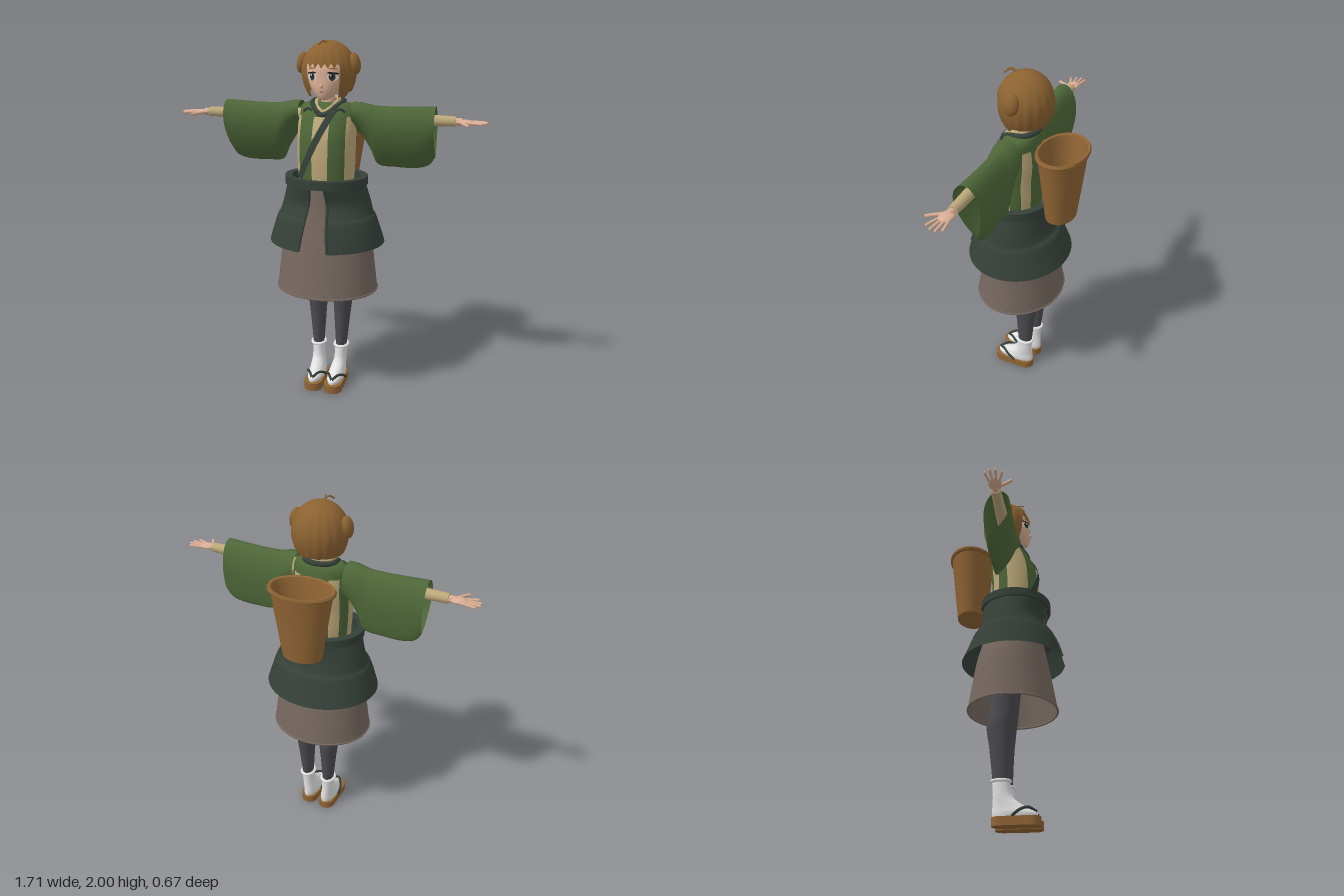
import * as THREE from 'three';
import { toCreasedNormals } from 'three/addons/utils/BufferGeometryUtils.js';
import { ParametricGeometry } from 'three/addons/geometries/ParametricGeometry.js';

const PI = Math.PI;
const mat = (name, color, side = THREE.FrontSide) => {
  const m = new THREE.MeshStandardMaterial({ color, side });
  m.name = name;
  return m;
};

// Rings are [y, centreX, centreZ, radiusX, radiusZ]; blended with a Catmull-Rom rule
const ringAt = (rings, f) => {
  const n = rings.length - 1, i = Math.min(Math.floor(f), n - 1), t = f - i;
  const p = (k) => rings[Math.max(0, Math.min(n, k))];
  return rings[i].map((b, k) => {
    const a = p(i - 1)[k], c = p(i + 1)[k], d = p(i + 2)[k];
    return b + 0.5 * t * (c - a + t * (2 * a - 5 * b + 4 * c - d + t * (3 * (b - c) + d - a)));
  });
};
// Front z of a lofted body at a given x and y
const frontZ = (rings, x, y) => {
  let lo = 0, hi = rings.length - 1;
  for (let k = 0; k < 24; k++) {
    const m = (lo + hi) / 2;
    if (ringAt(rings, m)[0] < y) lo = m; else hi = m;
  }
  const [, cx, cz, rx, rz] = ringAt(rings, lo);
  return cz + rz * Math.sqrt(Math.max(0, 1 - ((x - cx) / rx) ** 2));
};
// Elliptical loft between two angles; angle 0 is the front, positive towards +x
const loft = (rings, a0 = -PI, a1 = PI, seg = 40, gap = null) => new ParametricGeometry((u, v, p) => {
  const [y, cx, cz, rx, rz] = ringAt(rings, v * (rings.length - 1));
  const g = gap ? Math.asin(gap(y) / rx) : 0;
  const a = gap ? g + u * (2 * PI - 2 * g) : a0 + u * (a1 - a0);
  p.set(cx + rx * Math.sin(a), y, cz + rz * Math.cos(a));
}, seg, (rings.length - 1) * 5);

const V = (a) => new THREE.Vector3(...a);
const tube = (pts, r, closed = false, n = 24) =>
  new THREE.TubeGeometry(new THREE.CatmullRomCurve3(pts.map(V), closed), n, r, 8, closed);
const extrudeUp = (shape, y, h) => {
  const g = new THREE.ExtrudeGeometry(shape, { depth: h, bevelEnabled: false, curveSegments: 36 });
  return toCreasedNormals(g.rotateX(-PI / 2).translate(0, y, 0), 0.6);
};

const TORSO = [[1.24, 0, 0.06, 0.152, 0.13], [1.32, 0, 0.06, 0.158, 0.137], [1.42, 0, 0.06, 0.161, 0.138],
  [1.52, 0, 0.05, 0.161, 0.135], [1.61, 0, 0.035, 0.16, 0.108]];
const SHOULDERS = [[1.61, 0, 0.035, 0.16, 0.108], [1.65, 0, 0.025, 0.152, 0.09], [1.675, 0, 0.02, 0.12, 0.07],
  [1.682, 0, 0.02, 0.04, 0.03]];
const FACE = [[1.694, 0, 0.1, 0.002, 0.002], [1.7, 0, 0.1, 0.024, 0.03], [1.72, 0, 0.085, 0.05, 0.058],
  [1.76, 0, 0.05, 0.085, 0.1], [1.81, 0, 0.025, 0.108, 0.122], [1.87, 0, 0.015, 0.116, 0.125],
  [1.94, 0, 0.01, 0.09, 0.09], [1.975, 0, 0.01, 0.004, 0.004]];
const JACKET = [[0.91, 0, 0.045, 0.325, 0.29], [1.0, 0, 0.05, 0.298, 0.257], [1.06, 0, 0.05, 0.277, 0.232],
  [1.085, 0, 0.05, 0.262, 0.208], [1.15, 0, 0.045, 0.245, 0.183], [1.25, 0, 0.06, 0.215, 0.19]];
const SKIRT = [[0.625, 0, 0.04, 0.29, 0.248], [0.77, 0, 0.04, 0.273, 0.225], [0.91, 0, 0.04, 0.254, 0.2],
  [1.1, 0, 0.048, 0.205, 0.158], [1.25, 0, 0.05, 0.16, 0.145]];

export function createModel() {
  const D = THREE.DoubleSide;
  const M = {
    skin: mat('skin', 0xd9ad94), hair: mat('hair brown', 0x8b6231, D), wood: mat('wood brown', 0x8f6434, D),
    green: mat('leaf green', 0x4d6638, D), dark: mat('dark green', 0x354038, D), cream: mat('cream', 0xbba779, D),
    skirt: mat('taupe', 0x75675f, D), grey: mat('legging grey', 0x4b4b50), white: mat('white', 0xe2e2e2, D),
    black: mat('black', 0x1f1d1c, D),
  };
  const model = new THREE.Group();
  const add = (name, geo, m, parent = model) => {
    const mesh = new THREE.Mesh(geo, m);
    mesh.name = name;
    parent.add(mesh);
    return mesh;
  };

  // Head, neck and nose
  add('head', loft(FACE), M.skin);
  add('neck', new THREE.CylinderGeometry(0.036, 0.042, 0.16, 24).translate(0, 1.67, 0.025), M.skin);
  add('nose', new THREE.SphereGeometry(1, 12, 8).scale(0.009, 0.013, 0.014).translate(0, 1.772, 0.15), M.skin);

  // Painted face details, pressed onto the face
  const facePlate = (name, cx, cy, rx, ry, m, lift, tilt = 0) => {
    const s = new THREE.Shape().absellipse(cx, cy, rx, ry, 0, 2 * PI, false, tilt);
    const g = new THREE.ShapeGeometry(s, 14), p = g.attributes.position;
    for (let i = 0; i < p.count; i++) p.setZ(i, frontZ(FACE, p.getX(i), p.getY(i)) + lift);
    g.computeVertexNormals();
    add(name, g, m);
  };
  for (const s of [-1, 1]) {
    facePlate('eyeWhite', s * 0.056, 1.818, 0.027, 0.019, M.white, 0.004);
    facePlate('iris', s * 0.054, 1.818, 0.016, 0.019, M.dark, 0.006);
    facePlate('pupil', s * 0.054, 1.82, 0.008, 0.011, M.black, 0.0075);
    facePlate('eyeGlint', s * 0.054 - 0.005, 1.827, 0.004, 0.005, M.white, 0.009);
    facePlate('eyelash', s * 0.058, 1.838, 0.029, 0.005, M.black, 0.007, -s * 0.12);
    facePlate('eyebrow', s * 0.057, 1.861, 0.022, 0.003, M.hair, 0.005, -s * 0.1);
  }
  facePlate('mouth', 0, 1.742, 0.013, 0.0025, M.skirt, 0.004);

  // Bobbed hair: one shell whose lower edge changes around the head
  const hairEdge = (a) => {
    const b = Math.abs(a);
    if (b < 0.74) return 1.86 + 0.028 * Math.abs(((a * 4.2 + 20.5) % 1) * 2 - 1);
    return b < 1.3 ? 1.71 : 1.735;
  };
  add('hair', new ParametricGeometry((u, v, p) => {
    const a = (u * 2 - 1) * PI, d = Math.max(0.004, 1 - v);
    const y = 2 - (2 - hairEdge(a)) * d ** 1.8;
    const r = y > 1.84 ? 0.148 * Math.sqrt(1 - ((y - 1.84) / 0.16) ** 2) : 0.148 - 0.04 * ((1.84 - y) / 0.13) ** 2;
    const k = r * (1 + 0.012 * d * Math.cos(a * 18));
    p.set(k * Math.sin(a), y, 0.01 + 0.98 * k * Math.cos(a));
  }, 144, 22), M.hair);
  for (const s of [-1, 1]) {
    const bun = add('hairBun', new THREE.SphereGeometry(1, 20, 14).scale(0.03, 0.057, 0.042), M.hair);
    bun.position.set(s * 0.145, 1.882, 0.02);
    bun.rotation.z = s * 0.2;
    add('hairWisp', tube([[0, 1.985, 0.05], [s * 0.01, 1.998, 0.09], [s * 0.025, 1.98, 0.118]], 0.004), M.hair);
  }

  // Striped tunic, shoulder yoke and collar
  const edges = [0, 0.28, 0.9, 1.78, 2.2, 2.6, PI];
  for (let i = 0; i < 6; i++) for (const s of [-1, 1]) {
    const [a, b] = s > 0 ? [edges[i], edges[i + 1]] : [-edges[i + 1], -edges[i]];
    add('tunicStripe', loft(TORSO, a, b, 8), i % 2 ? M.green : M.cream);
  }
  add('tunicYoke', loft(SHOULDERS), M.green);
  add('innerCollar', tube([[0, 1.635, 0.122], [0.055, 1.68, 0.06], [0.05, 1.695, -0.01], [0, 1.7, -0.03],
    [-0.05, 1.695, -0.01], [-0.055, 1.68, 0.06]], 0.011, true, 48), M.cream);
  add('collar', tube([[0, 1.62, 0.135], [0.075, 1.67, 0.07], [0.075, 1.685, -0.02], [0, 1.69, -0.06],
    [-0.075, 1.685, -0.02], [-0.075, 1.67, 0.07]], 0.014, true, 48), M.dark);

  // Diagonal strap across the chest
  const BODY = [...TORSO, ...SHOULDERS.slice(1)];
  add('chestStrap', new ParametricGeometry((u, v, p) => {
    const x = -0.125 + 0.185 * v + (u - 0.5) * 0.034, y = 1.275 + 0.375 * v - (u - 0.5) * 0.015;
    p.set(x, y, frontZ(BODY, x, y) + 0.009);
  }, 4, 30), M.dark);
  for (const s of [-1, 1]) add('collarTie', tube([[s * 0.06, 1.64, 0.115], [s * 0.09, 1.65, 0.105],
    [s * 0.115, 1.635, 0.1]], 0.007), M.dark);

  // Belt, split overskirt and long skirt
  const beltShape = new THREE.Shape().absellipse(0, -0.06, 0.23, 0.203, 0, 2 * PI);
  beltShape.holes.push(new THREE.Path().absellipse(0, -0.06, 0.19, 0.165, 0, 2 * PI));
  add('belt', extrudeUp(beltShape, 1.24, 0.046), M.dark);
  const slit = (y) => 0.04 + 0.04 * (1.25 - y) / 0.34;
  add('overskirt', loft(JACKET, 0, 0, 72, slit), M.dark);
  for (const s of [-1, 1]) {
    const pts = [0.915, 1.0, 1.07, 1.15, 1.245].map((y) => [s * slit(y), y, frontZ(JACKET, slit(y), y)]);
    add('overskirtTrim', tube(pts, 0.008), M.dark);
  }
  add('skirt', loft(SKIRT, -PI, PI, 64), M.skirt);
  const hem = Array.from({ length: 24 }, (_, i) => {
    const a = i * PI / 12;
    return [0.288 * Math.sin(a), 0.631, 0.04 + 0.246 * Math.cos(a)];
  });
  add('skirtHem', tube(hem, 0.006, true, 72), M.skirt);

  // Basket on the back
  const profile = [[0, 1.215], [0.112, 1.215], [0.17, 1.592], [0.184, 1.595], [0.187, 1.605], [0.18, 1.616],
    [0.164, 1.612], [0.155, 1.58], [0.1, 1.235], [0, 1.235]].map(([x, y]) => new THREE.Vector2(x, y));
  add('basket', toCreasedNormals(new THREE.LatheGeometry(profile, 48).scale(1, 1, 0.725).translate(0, 0, -0.2), 0.7), M.wood);

  // Arms and legs, built on the left and mirrored to the right
  // Sleeve sections are [x, top, bottom, half depth]
  const sleeve = [[0.145, 1.685, 1.53, 0.08], [0.19, 1.684, 1.49, 0.08], [0.235, 1.676, 1.42, 0.078],
    [0.275, 1.67, 1.345, 0.076], [0.37, 1.668, 1.335, 0.076], [0.48, 1.672, 1.335, 0.077],
    [0.55, 1.675, 1.355, 0.077], [0.585, 1.675, 1.4, 0.077]];
  for (const s of [1, -1]) {
    const arm = new THREE.Group(), leg = new THREE.Group();
    arm.name = s > 0 ? 'leftArm' : 'rightArm';
    leg.name = s > 0 ? 'leftLeg' : 'rightLeg';
    arm.scale.x = leg.scale.x = s;
    model.add(arm, leg);

    add('sleeve', new ParametricGeometry((u, v, p) => {
      const [x, top, bottom, w] = ringAt(sleeve, v * 7), a = -u * 2 * PI;
      const t = (1 - Math.cos(a)) / 2;
      p.set(x, top + (bottom - top) * t, 0.045 - 0.055 * t * t + w * (1 - 0.55 * t * t) * Math.sin(a));
    }, 40, 42), M.green, arm);
    add('wristSleeve', new THREE.CylinderGeometry(0.026, 0.042, 0.55, 20).rotateZ(-PI / 2).translate(0.415, 1.603, 0.045), M.cream, arm);
    add('wrist', tube([[0.67, 1.602, 0.046], [0.72, 1.602, 0.048]], 0.02), M.skin, arm);
    add('palm', new THREE.SphereGeometry(1, 18, 12).scale(0.048, 0.014, 0.036).translate(0.735, 1.601, 0.05), M.skin, arm);
    const tips = [[0.832, 0.012], [0.849, 0.04], [0.846, 0.068], [0.826, 0.098]];
    tips.forEach(([x, z], i) => {
      const zb = 0.026 + i * 0.016;
      const f = add('finger', new THREE.CapsuleGeometry(0.0075, Math.hypot(x - 0.755, z - zb), 4, 8), M.skin, arm);
      f.position.set((x + 0.748) / 2, 1.6, (z + zb) / 2);
      f.rotation.set(PI / 2, 0, -Math.atan2(x - 0.755, z - zb));
    });
    add('thumb', tube([[0.715, 1.6, 0.065], [0.738, 1.597, 0.105], [0.765, 1.594, 0.145]], 0.009), M.skin, arm);

    add('legging', loft([[0.225, 0.07, -0.015, 0.031, 0.043], [0.4, 0.073, -0.02, 0.045, 0.056],
      [0.53, 0.076, -0.022, 0.055, 0.07], [0.64, 0.076, -0.006, 0.055, 0.068], [0.95, 0.078, 0.02, 0.068, 0.075]]), M.grey, leg);
    add('sock', loft([[0.044, 0.06, 0.055, 0.044, 0.115], [0.068, 0.06, 0.053, 0.048, 0.115], [0.1, 0.062, 0.025, 0.042, 0.085],
      [0.15, 0.067, -0.005, 0.036, 0.052], [0.235, 0.07, -0.015, 0.035, 0.046]]), M.white, leg);
    add('sockCuff', new THREE.TorusGeometry(0.038, 0.01, 8, 28).rotateX(PI / 2).scale(1, 0.9, 1.2).translate(0.07, 0.23, -0.015), M.white, leg);

    // Wooden sandal with a forked strap
    const sole = new THREE.Shape();
    sole.absarc(0.06, -0.137, 0.053, PI, 2 * PI);
    sole.absarc(0.06, 0.015, 0.05, 0, PI);
    add('sandal', extrudeUp(sole, 0, 0.046), M.wood, leg);
    for (const k of [-1, 1]) add('sandalStrap', tube([[0.06, 0.075, 0.165], [0.06 + k * 0.028, 0.092, 0.125],
      [0.06 + k * 0.05, 0.076, 0.085], [0.06 + k * 0.051, 0.046, 0.045]], 0.0075), M.dark, leg);
  }
  return model;
}
